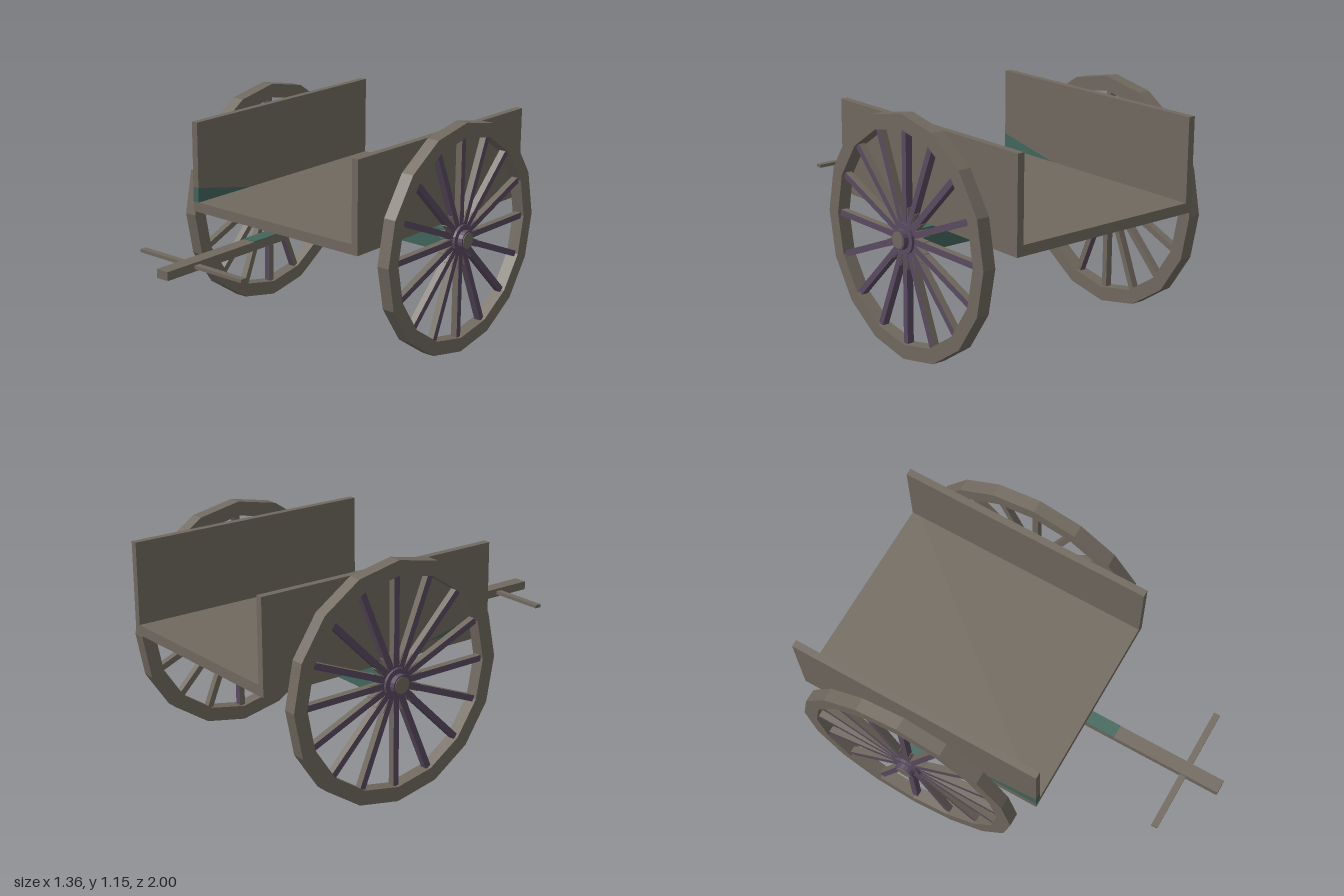
import * as THREE from 'three';

const mat = (name, color) => new THREE.MeshStandardMaterial({ name, color, flatShading: true });

export function createModel() {
  const wood = mat('weathered wood', 0x70695f);
  const teal = mat('teal paint', 0x41665b);
  const purple = mat('purple paint', 0x5a4b60);
  const root = new THREE.Group();
  root.name = 'handCart';

  function add(parent, name, geo, material, x = 0, y = 0, z = 0) {
    const m = new THREE.Mesh(geo, material);
    m.name = name;
    m.position.set(x, y, z);
    parent.add(m);
    return m;
  }
  // Box given by its extents
  function box(parent, name, material, x0, x1, y0, y1, z0, z1) {
    return add(parent, name, new THREE.BoxGeometry(x1 - x0, y1 - y0, z1 - z0), material,
      (x0 + x1) / 2, (y0 + y1) / 2, (z0 + z1) / 2);
  }
  // Plate with a (z, y) outline, from x0 to x0 + depth
  function sidePlate(name, material, points, x0, depth) {
    const shape = new THREE.Shape(points.map(([z, y]) => new THREE.Vector2(-z, y)));
    const geo = new THREE.ExtrudeGeometry(shape, { depth, bevelEnabled: false });
    geo.rotateY(Math.PI / 2);
    return add(root, name, geo, material, x0);
  }

  // Bed and side walls; one wall has a painted wedge at its front corner
  box(root, 'floor', wood, -0.525, 0.525, 0.63, 0.68, -1, 0.288);
  box(root, 'leftWall', wood, 0.49, 0.525, 0.68, 1.085, -1, 0.288);
  sidePlate('rightWall', wood,
    [[0.288, 0.755], [0.288, 1.085], [-1, 1.085], [-1, 0.68], [-0.08, 0.68]], -0.525, 0.035);
  sidePlate('rightWallPaint', teal, [[0.288, 0.68], [0.288, 0.755], [-0.08, 0.68]], -0.525, 0.035);

  // Axle beam, pull pole and handle
  box(root, 'axle', teal, -0.6, 0.6, 0.515, 0.63, -0.42, -0.3);
  box(root, 'pole', wood, -0.04, 0.028, 0.585, 0.627, 0.235, 1);
  box(root, 'polePaint', teal, -0.04, 0.028, 0.627, 0.63, 0.235, 0.44);
  box(root, 'handle', wood, -0.328, 0.315, 0.598, 0.614, 0.8, 0.832);

  // Wheel, built in its own XY plane with the outside facing +z
  function makeWheel(name) {
    const wheel = new THREE.Group();
    wheel.name = name;
    const n = 16, width = 0.065;
    const ring = r => Array.from({ length: n }, (_, i) => {
      const a = i / n * Math.PI * 2;
      return new THREE.Vector2(Math.cos(a) * r, Math.sin(a) * r);
    });
    const rim = new THREE.Shape(ring(0.576));
    rim.holes.push(new THREE.Path(ring(0.505)));
    add(wheel, 'rim', new THREE.ExtrudeGeometry(rim, { depth: width, bevelEnabled: false }), wood, 0, 0, -width / 2);

    // Spokes are painted outside and below, bare inside and above
    for (let i = 0; i < n; i++) {
      const a = i / n * Math.PI * 2;
      const up = Math.cos(a) >= 0;
      const mats = [purple, purple, up ? wood : purple, up ? purple : wood, purple, wood];
      const spoke = add(wheel, 'spoke', new THREE.BoxGeometry(0.47, 0.03, 0.034), mats,
        Math.cos(a) * 0.275, Math.sin(a) * 0.275);
      spoke.rotation.z = a;
      const socket = add(wheel, 'spokeSocket', new THREE.BoxGeometry(0.09, 0.036, 0.028), wood,
        Math.cos(a) * 0.1, Math.sin(a) * 0.1);
      socket.rotation.z = a;
    }

    // Hub with a flange, a painted barrel and a bare end cap
    const drum = (name, r, z0, z1, m) => {
      const g = new THREE.CylinderGeometry(r, r, z1 - z0, n);
      g.rotateX(Math.PI / 2);
      add(wheel, name, g, m, 0, 0, (z0 + z1) / 2);
    };
    drum('hubFlange', 0.073, -0.03, 0.03, purple);
    drum('hubBarrel', 0.048, -0.035, 0.055, purple);
    drum('hubCap', 0.04, 0.05, 0.058, wood);
    return wheel;
  }

  for (const side of [1, -1]) {
    const wheel = makeWheel(side > 0 ? 'leftWheel' : 'rightWheel');
    wheel.position.set(side * 0.62, 0.577, -0.357);
    wheel.rotation.y = side * Math.PI / 2;
    root.add(wheel);
  }
  return root;
}
